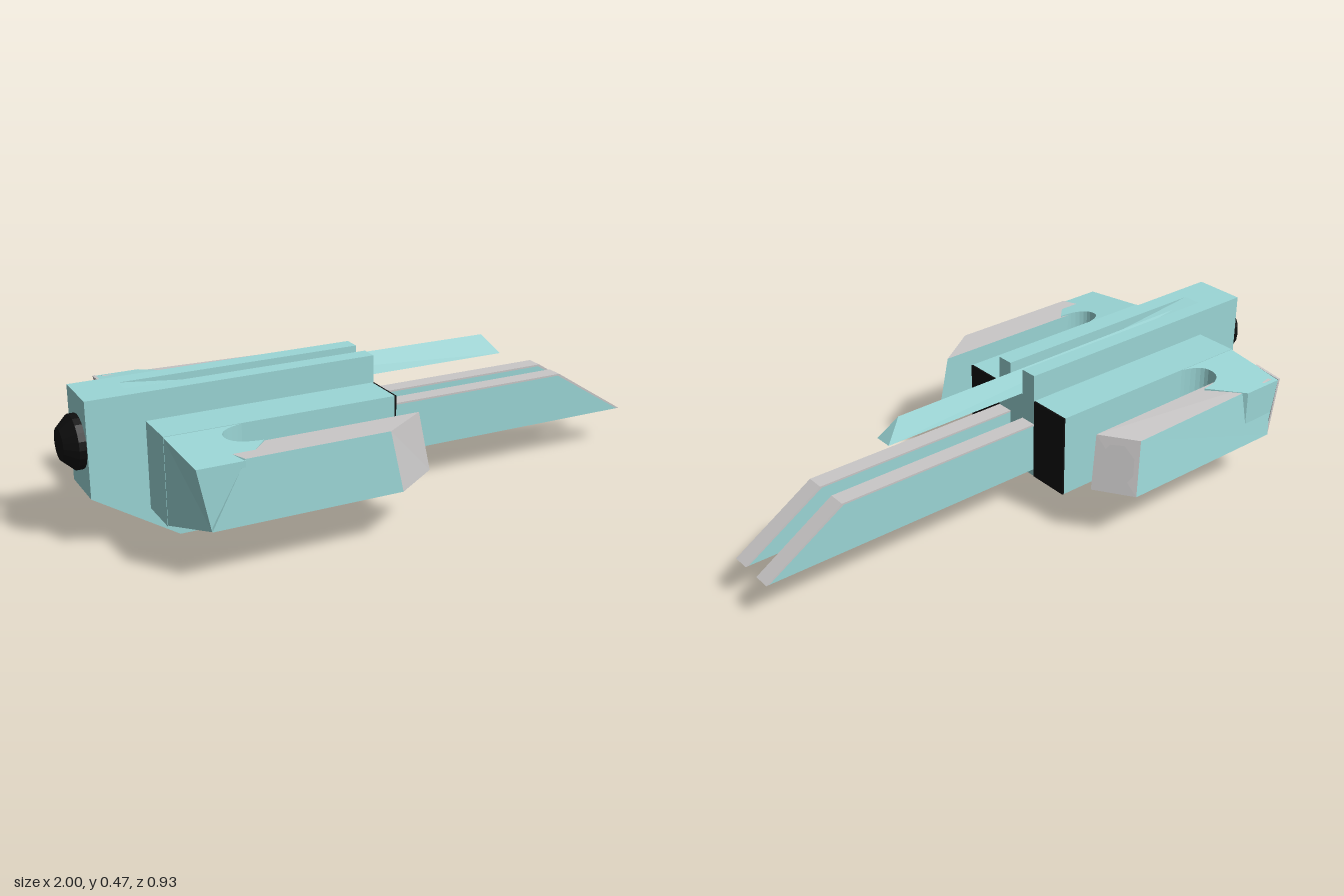
import * as THREE from 'three';

const mat = (name, color) => Object.assign(new THREE.MeshStandardMaterial({ color }), { name });

export function createModel() {
  const root = new THREE.Group();
  root.name = 'spaceship';
  const teal = mat('pale teal', 0x9bd6d6);
  const grey = mat('light grey', 0xc9c7c7);
  const black = mat('black', 0x0e0e0e);

  const add = (name, geo, material, parent = root) => {
    const m = new THREE.Mesh(geo, material);
    m.name = name;
    parent.add(m);
    return m;
  };
  const polygon = (pts) => new THREE.Shape(pts.map(([x, y]) => new THREE.Vector2(x, y)));

  // Side profile (x, y) extruded between two z values
  const slab = (name, pts, z0, z1, material) => {
    const g = new THREE.ExtrudeGeometry(polygon(pts), { depth: z1 - z0, bevelEnabled: false });
    return add(name, g.translate(0, 0, z0), material);
  };
  const box = (name, x0, x1, y0, y1, z0, z1, material) => add(name,
    new THREE.BoxGeometry(x1 - x0, y1 - y0, Math.abs(z1 - z0))
      .translate((x0 + x1) / 2, (y0 + y1) / 2, (z0 + z1) / 2), material);

  // Six-sided block; corners run rear-inner, front-inner, front-outer, rear-outer, bottom then top.
  // Material slots: bottom, top, inner, front, outer, rear
  const block = (name, corners, side, materials) => {
    const faces = [[0, 1, 2, 3], [4, 7, 6, 5], [0, 4, 5, 1], [1, 5, 6, 2], [2, 6, 7, 3], [3, 7, 4, 0]];
    const pos = [];
    const g = new THREE.BufferGeometry();
    faces.forEach((f, i) => {
      const q = side > 0 ? f : [...f].reverse();
      [0, 1, 2, 0, 2, 3].forEach((k) => {
        const [x, y, z] = corners[q[k]];
        pos.push(x, y, z * side);
      });
      g.addGroup(i * 6, 6, i);
    });
    g.setAttribute('position', new THREE.Float32BufferAttribute(pos, 3));
    g.computeVertexNormals();
    return add(name, g, materials);
  };

  // Hull core, with its top sloping down into a groove and its keel set back
  slab('hullCore', [[-0.94, 0.475], [-0.8, 0.475], [0, 0.387], [0, 0.105], [-0.54, 0.105],
    [-0.54, 0], [-0.67, 0], [-0.94, 0.17]], -0.031, 0.031, teal);

  // Triangular spine barrel lying in the groove
  const spine = new THREE.BufferGeometry();
  const S = [[-0.8, 0.465, 0], [0.46, 0.457, 0], [-0.8, 0.39, 0.03], [0.52, 0.39, 0.03],
    [-0.8, 0.39, -0.03], [0.52, 0.39, -0.03]];
  const tri = [0, 2, 3, 0, 3, 1, 0, 1, 5, 0, 5, 4, 1, 3, 5, 0, 4, 2, 2, 4, 5, 2, 5, 3];
  spine.setAttribute('position', new THREE.Float32BufferAttribute(tri.flatMap((i) => S[i]), 3));
  spine.computeVertexNormals();
  add('spineBarrel', spine, teal);

  for (const s of [1, -1]) {
    const end = s > 0 ? 'Front' : 'Back';
    const span = (a, b) => (s > 0 ? [a, b] : [-b, -a]);

    // Hull side plates and black keel fronts
    slab('hullSide' + end, [[-0.94, 0.475], [0, 0.475], [0, 0.105], [-0.44, 0.105], [-0.497, 0.07],
      [-0.497, 0], [-0.67, 0], [-0.94, 0.17]], ...span(0.031, 0.088), teal);
    box('keelPlate' + end, -0.5, -0.492, 0, 0.105, ...span(0.031, 0.088), black);

    // Long forward prongs with grey upper edges
    slab('prong' + end, [[0, 0.13], [0.99, 0.13], [0.725, 0.294], [0, 0.294]], ...span(0.031, 0.088), teal);
    slab('prongEdge' + end, [[0, 0.3], [0.73, 0.3], [1, 0.13], [0.99, 0.13], [0.725, 0.294], [0, 0.294]],
      ...span(0.031, 0.088), grey);

    // Wing body with its black front plate
    box('wingBody' + end, -0.76, -0.004, 0.105, 0.385, ...span(0.08, 0.235), teal);
    box('wingFrontPlate' + end, -0.004, 0.002, 0.105, 0.385, ...span(0.09, 0.235), black);

    // Bridge to the pod: plan with a rounded slot end, thinning outwards
    const p = new THREE.Shape();
    p.moveTo(-0.76, -s * 0.23);
    p.lineTo(-0.748, -s * 0.458);
    p.lineTo(-0.6, -s * 0.458);
    p.lineTo(-0.5, -s * 0.357);
    p.quadraticCurveTo(-0.6, -s * 0.35, -0.6, -s * 0.295);
    p.quadraticCurveTo(-0.6, -s * 0.24, -0.48, -s * 0.23);
    p.closePath();
    const bridge = new THREE.ExtrudeGeometry(p, { depth: 1, bevelEnabled: false, curveSegments: 8 });
    bridge.rotateX(-Math.PI / 2);
    const b = bridge.attributes.position;
    for (let i = 0; i < b.count; i++) {
      const t = b.getY(i);
      const u = (Math.abs(b.getZ(i)) - 0.23) / 0.228;
      b.setY(i, THREE.MathUtils.lerp(0.106 + 0.062 * u, 0.384 - 0.022 * u, t));
      if (b.getX(i) < -0.7) b.setX(i, b.getX(i) + 0.04 * (1 - t) * u);
    }
    bridge.computeVertexNormals();
    add('wingBridge' + end, bridge, teal);

    // Outer pod with grey top and slanted grey nose
    const podCorners = s > 0
      ? [[-0.64, 0.17, 0.357], [0.055, 0.17, 0.355], [-0.1, 0.17, 0.465], [-0.71, 0.17, 0.465],
        [-0.64, 0.367, 0.352], [0.015, 0.367, 0.352], [-0.14, 0.367, 0.457], [-0.6, 0.367, 0.457]]
      : [[-0.64, 0.18, 0.355], [-0.01, 0.18, 0.355], [-0.1, 0.17, 0.467], [-0.71, 0.17, 0.467],
        [-0.68, 0.368, 0.34], [-0.04, 0.362, 0.34], [-0.13, 0.352, 0.445], [-0.73, 0.364, 0.445]];
    block('pod' + end, podCorners, s, [teal, grey, teal, grey, teal, teal]);

    if (s < 0) {
      // Octagonal nose disc
      const c = [1, 2, 5, 6].map((i) => new THREE.Vector3(podCorners[i][0], podCorners[i][1], -podCorners[i][2]));
      const mid = c.reduce((a, v) => a.add(v), new THREE.Vector3()).multiplyScalar(0.25);
      const n = c[1].clone().sub(c[0]).cross(c[2].clone().sub(c[0])).normalize();
      if (n.x < 0) n.negate();
      const disc = add('podNoseDisc', new THREE.CircleGeometry(0.075, 8, Math.PI / 8), grey);
      disc.scale.x = 0.8;
      disc.position.copy(mid).addScaledVector(n, 0.004);
      disc.lookAt(disc.position.clone().add(n));

      // Grey rear plate
      block('podRearPlate', [[-0.742, 0.14, 0.35], [-0.734, 0.14, 0.35], [-0.708, 0.17, 0.462], [-0.716, 0.17, 0.462],
        [-0.762, 0.372, 0.35], [-0.752, 0.372, 0.35], [-0.746, 0.364, 0.458], [-0.755, 0.364, 0.458]], s,
      Array(6).fill(grey));
    }
  }

  // Rear engine nozzle, turned around the x axis
  const nozzle = new THREE.LatheGeometry(
    [[0, -0.06], [0.05, -0.06], [0.085, -0.022], [0.085, 0.005], [0, 0.005]]
      .map(([r, h]) => new THREE.Vector2(r, h)), 20).toNonIndexed();
  nozzle.computeVertexNormals();
  nozzle.rotateZ(-Math.PI / 2).translate(-0.94, 0.325, 0);
  add('engineNozzle', nozzle, black);

  return root;
}
